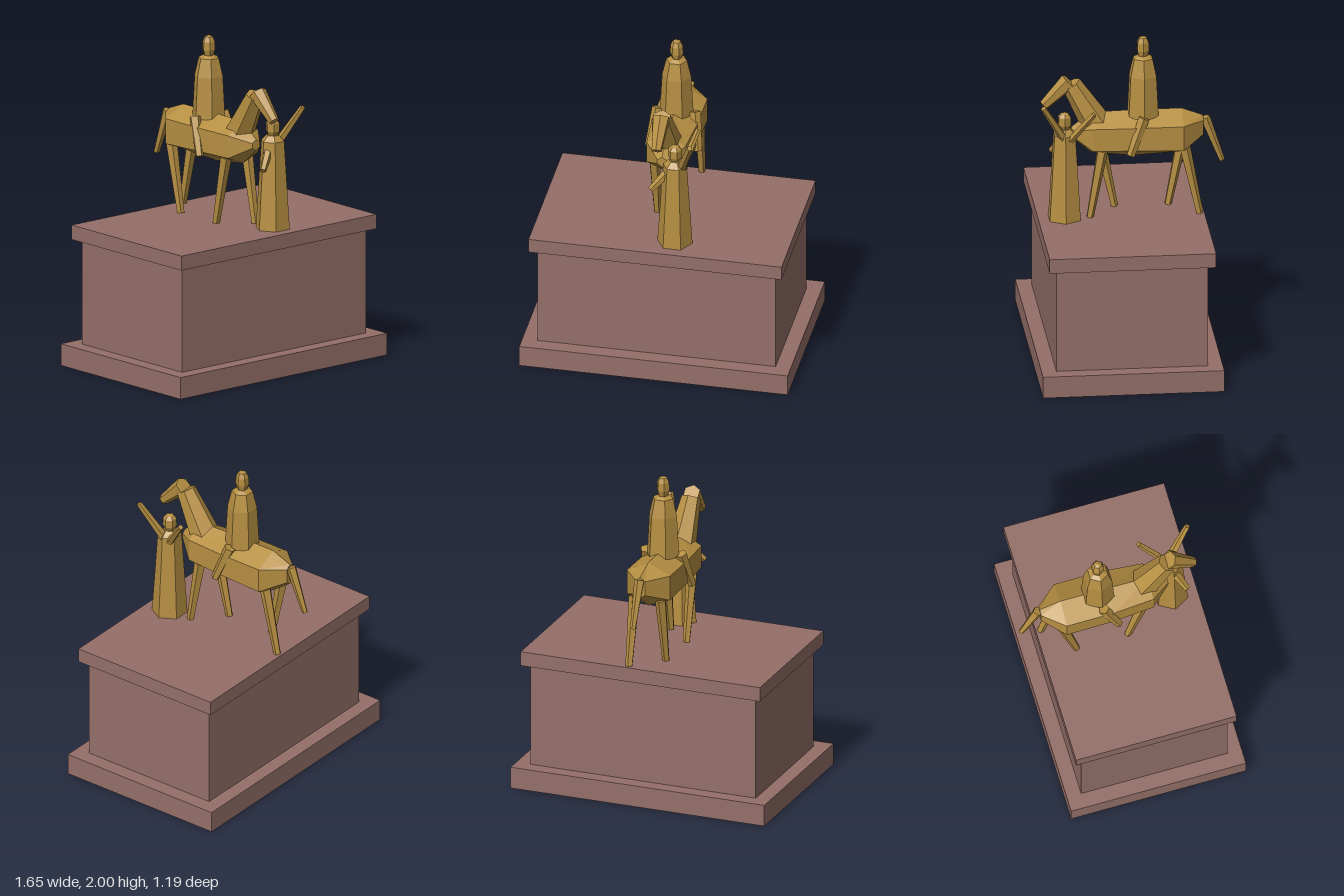
import * as THREE from 'three';

const V = (x, y, z) => new THREE.Vector3(x, y, z);

export function createModel() {
  const model = new THREE.Group();
  const stone = new THREE.MeshStandardMaterial({ color: 0x946f68, side: THREE.DoubleSide, flatShading: true });
  stone.name = 'red stone';
  const bronze = new THREE.MeshStandardMaterial({ color: 0xb68f42, side: THREE.DoubleSide, flatShading: true });
  bronze.name = 'bronze';

  const add = (parent, name, geometry, material = bronze) => {
    const mesh = new THREE.Mesh(geometry, material);
    mesh.name = name;
    parent.add(mesh);
    return mesh;
  };
  const group = (name) => {
    const g = new THREE.Group();
    g.name = name;
    model.add(g);
    return g;
  };

  // Tapered limb between two points
  const limb = (parent, name, a, b, r0, r1, sides = 5) => {
    const mesh = add(parent, name, new THREE.CylinderGeometry(r1, r0, a.distanceTo(b), sides));
    mesh.position.copy(a).add(b).multiplyScalar(0.5);
    mesh.quaternion.setFromUnitVectors(V(0, 1, 0), b.clone().sub(a).normalize());
    return mesh;
  };

  // Six-sided turned shape with corners at +x and -x
  const turned = (parent, name, x, z, profile) => {
    const points = profile.map(([r, y]) => new THREE.Vector2(r, y));
    add(parent, name, new THREE.LatheGeometry(points, 6, Math.PI / 2)).position.set(x, 0, z);
  };

  // Pedestal: three slabs, open underneath
  const pedestal = group('pedestal');
  const slab = (name, w, d, y0, y1) => {
    const g = new THREE.BoxGeometry(w, y1 - y0, d);
    const index = Array.from(g.index.array);
    index.splice(18, 6);
    g.setIndex(index);
    g.clearGroups();
    add(pedestal, name, g, stone).position.set(0, (y0 + y1) / 2, 0.045);
  };
  slab('plinth', 1.655, 1.1, 0, 0.135);
  slab('block', 1.47, 0.92, 0.135, 0.785);
  slab('cap', 1.56, 1.01, 0.785, 0.875);

  // Horse body: hexagonal sections [z, half width, top, upper side, lower side, bottom]
  const horse = group('horse');
  const sections = [
    [0.34, 0.03, 1.43, 1.41, 1.38, 1.36],
    [0.22, 0.12, 1.52, 1.45, 1.31, 1.26],
    [-0.03, 0.14, 1.525, 1.455, 1.31, 1.23],
    [-0.33, 0.14, 1.525, 1.455, 1.3, 1.245],
    [-0.46, 0.03, 1.475, 1.45, 1.36, 1.34],
  ];
  const positions = [], faces = [];
  sections.forEach(([z, w, top, hi, lo, bottom]) => {
    positions.push(0, top, z, w, hi, z, w, lo, z, 0, bottom, z, -w, lo, z, -w, hi, z);
  });
  const last = (sections.length - 1) * 6;
  for (let s = 0; s < last; s += 6) {
    for (let i = 0; i < 6; i++) {
      const a = s + i, b = s + ((i + 1) % 6);
      faces.push(a, a + 6, b, b, a + 6, b + 6);
    }
  }
  for (let i = 1; i < 5; i++) {
    faces.push(0, i + 1, i);
    faces.push(last, last + i, last + i + 1);
  }
  faces.forEach((_, k) => {
    // Corners run anticlockwise seen from outside
    if (k % 3 === 0) [faces[k + 1], faces[k + 2]] = [faces[k + 2], faces[k + 1]];
  });
  const body = new THREE.BufferGeometry();
  body.setAttribute('position', new THREE.Float32BufferAttribute(positions, 3));
  body.setIndex(faces.map((_, k) => faces[k - (k % 3) + [0, 2, 1][k % 3]]));
  body.computeVertexNormals();
  add(horse, 'horseBody', body);

  limb(horse, 'horseNeck', V(0, 1.43, 0.18), V(-0.005, 1.705, 0.34), 0.095, 0.06, 6);
  limb(horse, 'horseHead', V(0, 1.725, 0.355), V(0, 1.575, 0.505), 0.055, 0.032, 6);
  limb(horse, 'tail', V(0, 1.46, -0.47), V(0, 1.18, -0.575), 0.032, 0.018);

  // Legs in stride
  [
    ['leftForeleg', 0.085, 0.16, 0.235], ['rightForeleg', -0.085, 0.16, 0.07],
    ['leftHindLeg', 0.085, -0.34, -0.43], ['rightHindLeg', -0.085, -0.34, -0.255],
  ].forEach(([name, x, z0, z1]) => limb(horse, name, V(x, 1.3, z0), V(x, 0.875, z1), 0.036, 0.023));

  // Rider
  const rider = group('rider');
  turned(rider, 'riderRobe', 0, -0.095, [[0, 1.49], [0.104, 1.49], [0.09, 1.75], [0.064, 1.86], [0.035, 1.875], [0, 1.875]]);
  turned(rider, 'riderHead', 0, -0.095, [[0, 1.865], [0.03, 1.875], [0.041, 1.91], [0.039, 1.96], [0.026, 1.99], [0, 2]]);
  for (const side of [-1, 1]) {
    limb(rider, side > 0 ? 'riderLeftLeg' : 'riderRightLeg',
      V(side * 0.115, 1.51, -0.09), V(side * 0.152, 1.285, -0.005), 0.036, 0.025);
  }

  // Standing figure beside the horse's head
  const attendant = group('attendant');
  const ax = 0.09, az = 0.39;
  turned(attendant, 'attendantRobe', ax, az, [[0, 0.875], [0.108, 0.875], [0.073, 1.42], [0.04, 1.455], [0, 1.455]]);
  turned(attendant, 'attendantHead', ax, az, [[0, 1.445], [0.03, 1.455], [0.043, 1.48], [0.042, 1.53], [0.026, 1.55], [0, 1.56]]);
  limb(attendant, 'raisedArm', V(0.125, 1.39, 0.39), V(0.21, 1.635, 0.53), 0.028, 0.018);
  limb(attendant, 'loweredArm', V(0.06, 1.38, 0.39), V(-0.045, 1.265, 0.455), 0.03, 0.02);
  limb(attendant, 'backArm', V(0.13, 1.39, 0.36), V(0.2, 1.58, 0.22), 0.024, 0.017);

  return model;
}
